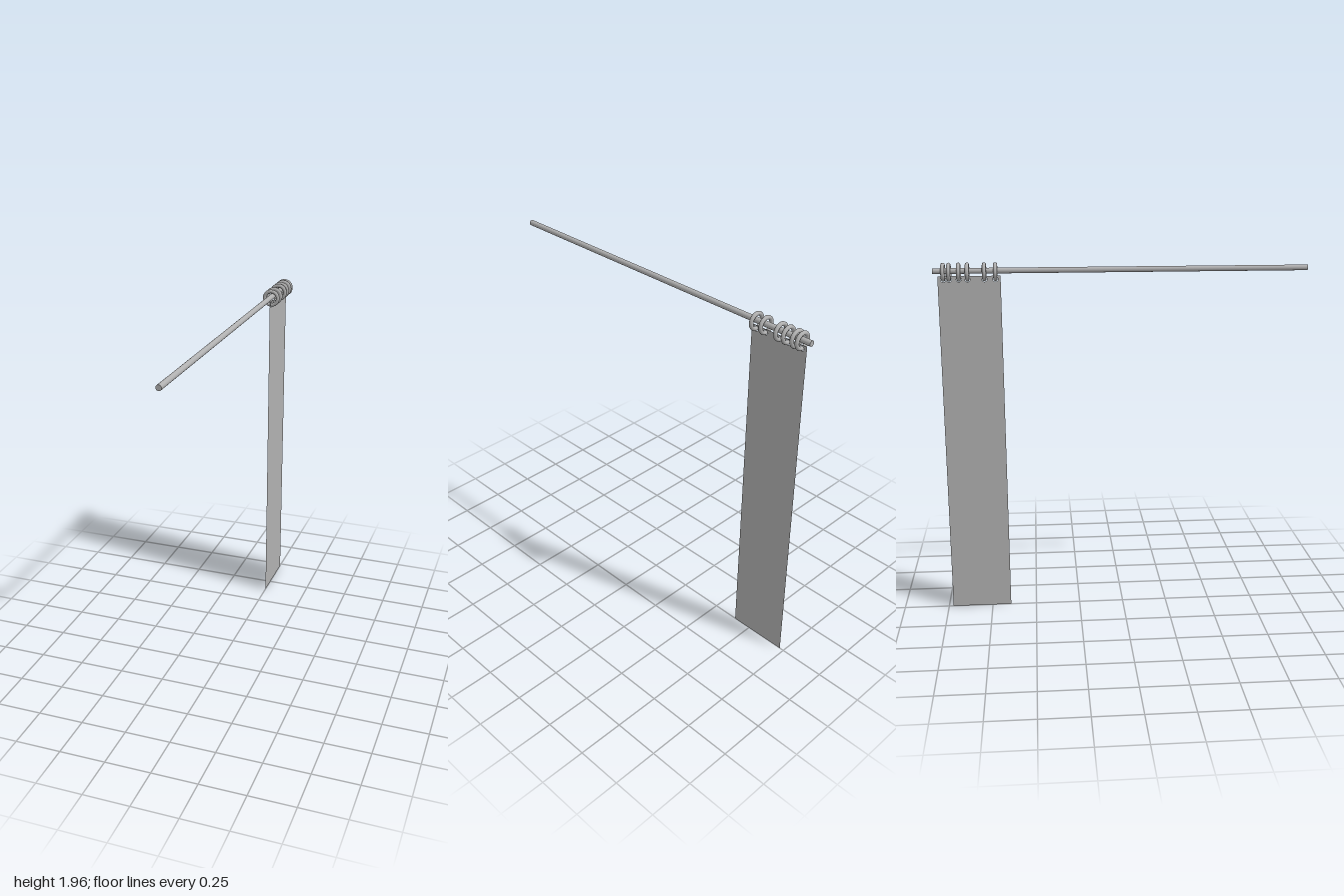
import * as THREE from 'three';

const grey = new THREE.MeshStandardMaterial({ color: 0xb0b0b0, side: THREE.DoubleSide });
grey.name = 'plain grey';

const ROD_Y = 1.917;
const RING_Y = 1.911;
const RING_Z = [-0.945, -0.915, -0.864, -0.819, -0.73, -0.672];

export function createModel() {
  const model = new THREE.Group();
  model.name = 'curtainOnRail';

  const add = (name, geometry, x, y, z) => {
    const mesh = new THREE.Mesh(geometry, grey);
    mesh.name = name;
    mesh.position.set(x, y, z);
    model.add(mesh);
    return mesh;
  };

  // Straight rail running front to back
  const rail = new THREE.CylinderGeometry(0.015, 0.015, 2, 24);
  rail.rotateX(Math.PI / 2);
  add('rail', rail, 0, ROD_Y, 0);

  // Unevenly spaced rings hanging around the rail
  const ring = new THREE.TorusGeometry(0.039, 0.0105, 12, 32);
  RING_Z.forEach((z, i) => add('ring' + (i + 1), ring, 0, RING_Y, z));

  // Flat gathered curtain, with a small eyelet for each ring
  const back = 0.975, front = 0.645, top = 1.89;
  const sheet = new THREE.Shape();
  sheet.moveTo(front, 0);
  sheet.lineTo(back, 0);
  sheet.lineTo(back, top);
  sheet.lineTo(front, top);
  sheet.closePath();
  for (const z of RING_Z) {
    const eyelet = new THREE.Path();
    eyelet.absarc(-z, 1.872, 0.0135, 0, Math.PI * 2, true);
    sheet.holes.push(eyelet);
  }
  const curtain = new THREE.ShapeGeometry(sheet, 8);
  curtain.rotateY(Math.PI / 2);
  add('curtain', curtain, 0, 0, 0);

  return model;
}
